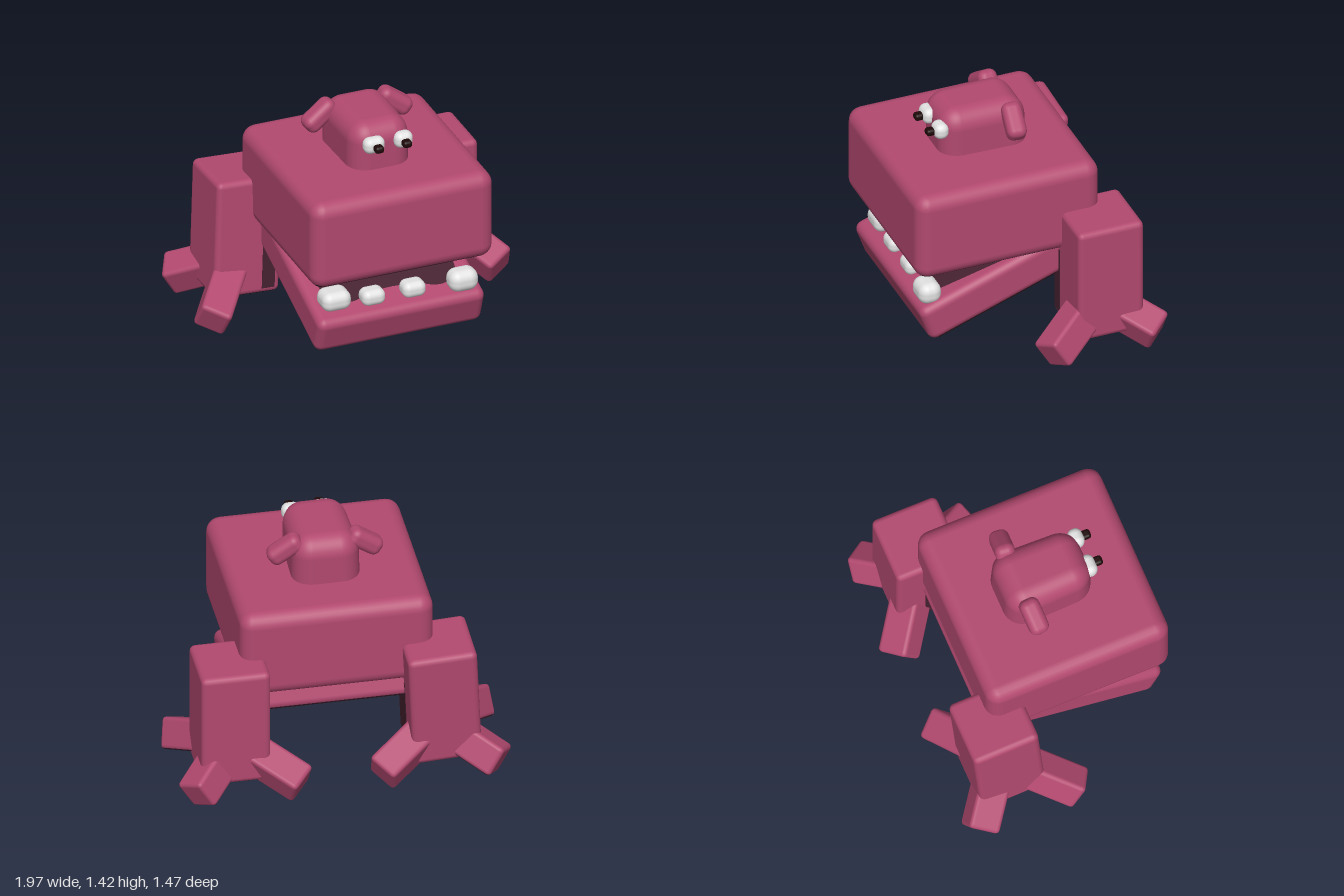
import * as THREE from 'three';
import { RoundedBoxGeometry } from 'three/addons/geometries/RoundedBoxGeometry.js';

function colour(name, hex) {
  const material = new THREE.MeshStandardMaterial({ color: hex });
  material.name = name;
  return material;
}
const skin = colour('berry skin', 0xb2496f);
const maroon = colour('deep maroon', 0x45212f);
const black = colour('brown black', 0x1e0908);
const white = colour('tooth white', 0xe2e2e2);

// Rounded block: size [w, h, d], centre [x, y, z]
function block(name, material, size, position, radius, segments = 3) {
  const mesh = new THREE.Mesh(new RoundedBoxGeometry(...size, segments, radius), material);
  mesh.name = name;
  mesh.position.set(...position);
  return mesh;
}

// Materials for a skin block whose underside has another colour
const withBelly = (belly) => [skin, skin, skin, belly, skin, skin];

// Thin painted plate
function plate(name, material, size, position) {
  const mesh = new THREE.Mesh(new THREE.BoxGeometry(...size), material);
  mesh.name = name;
  mesh.position.set(...position);
  return mesh;
}

// Toe reaching down and outward from the leg, ending at (x, z) and rolled on its axis
function toe(centre, [x, z], side) {
  const tilt = 0.39, length = 0.44;
  const yaw = Math.atan2(x - centre[0], z - centre[2]);
  const dir = new THREE.Vector3(
    Math.sin(yaw) * Math.cos(tilt), -Math.sin(tilt), Math.cos(yaw) * Math.cos(tilt));
  const mesh = block('toe', withBelly(maroon), [0.19, 0.19, length], [x, 0.122, z], 0.025, 2);
  mesh.position.addScaledVector(dir, -length / 2);
  mesh.rotation.set(tilt, yaw, side * 0.42, 'YXZ');
  return mesh;
}

function leg(name, side, centre, lean, toeTips) {
  const group = new THREE.Group();
  group.name = name;
  const post = block('legPost', withBelly(black), [0.41, 0.74, 0.41], centre, 0.035, 2);
  post.rotation.set(lean[0], 0, lean[1]);
  // Dark skin where the leg faces the belly
  post.add(
    plate('innerShade', maroon, [0.006, 0.43, 0.2], [-side * 0.205, -0.12, 0.07]),
    plate('frontShade', maroon, [0.08, 0.43, 0.006], [-side * 0.13, -0.12, 0.205]));
  group.add(post, ...toeTips.map((tip) => toe(centre, tip, side)));
  return group;
}

export function createModel() {
  const model = new THREE.Group();
  model.name = 'blockCreature';

  // Jaws
  model.add(block('upperJaw', withBelly(maroon), [1.145, 0.56, 1.15], [0.013, 0.875, 0.163], 0.085));
  const lowerJaw = block('lowerJaw', withBelly(maroon), [1.05, 0.24, 1.12], [0.015, 0.435, 0.145], 0.05);
  lowerJaw.rotation.x = 0.345;
  model.add(lowerJaw);

  // Dark mouth floor with a wavy front edge, widening towards the throat
  const floor = new THREE.Shape();
  floor.moveTo(-0.47, 0.45);
  floor.lineTo(-0.47, 0.1);
  floor.lineTo(-0.41, -0.37);
  floor.quadraticCurveTo(-0.3, -0.46, -0.2, -0.4);
  floor.quadraticCurveTo(0, -0.34, 0.2, -0.4);
  floor.quadraticCurveTo(0.3, -0.46, 0.41, -0.37);
  floor.lineTo(0.47, 0.1);
  floor.lineTo(0.47, 0.45);
  const mouthFloor = new THREE.Mesh(new THREE.ShapeGeometry(floor), maroon);
  mouthFloor.name = 'mouthFloor';
  mouthFloor.rotation.x = -Math.PI / 2;
  mouthFloor.position.y = 0.123;
  lowerJaw.add(mouthFloor, plate('jawBelly', black, [0.95, 0.006, 0.93], [0.02, -0.12, 0.045]));

  // Teeth: x, y, z, width, height, depth
  const teeth = [
    [-0.365, 0.445, 0.57, 0.18, 0.12, 0.16], [-0.135, 0.425, 0.59, 0.145, 0.1, 0.12],
    [0.12, 0.425, 0.59, 0.145, 0.1, 0.12], [0.42, 0.435, 0.62, 0.18, 0.135, 0.14],
  ];
  for (const [x, y, z, w, h, d] of teeth) {
    model.add(block('tooth', white, [w, h, d], [x, y, z], h * 0.43, 4));
  }

  // Head, slightly narrower towards the top, the front and the upper back
  const head = block('head', skin, [0.405, 0.44, 0.545], [0.013, 1.215, 0.148], 0.12, 5);
  const p = head.geometry.attributes.position;
  for (let i = 0; i < p.count; i++) {
    const up = Math.max(0, p.getY(i)) / 0.22, forward = Math.max(0, p.getZ(i)) / 0.27;
    p.setX(i, p.getX(i) * (1 - 0.04 * up - 0.08 * forward));
    if (p.getZ(i) < 0) p.setZ(i, p.getZ(i) * (1 - 0.08 * up));
  }
  model.add(head);

  for (const side of [-1, 1]) {
    // Drooping ears
    const ear = block('ear', skin, [0.225, 0.115, 0.12],
      [0.013 + side * 0.235, 1.345, 0.005], 0.045, 3);
    ear.rotation.set(0, -side * 0.1, -side * 0.62);
    model.add(ear);

    // Bulging eyes with protruding pupils
    const x = side < 0 ? -0.053 : 0.131;
    model.add(
      block('eye', white, [side < 0 ? 0.13 : 0.115, 0.1, 0.09], [x, 1.32, 0.42], 0.042, 4),
      block('pupil', black, [0.056, 0.044, 0.058], [side < 0 ? -0.046 : 0.13, 1.32, 0.481], 0.018, 3));
  }

  // Two rear legs with three splayed toes each
  model.add(leg('leftLeg', 1, [0.647, 0.497, -0.365], [0, 0], [
    [0.907, 0.035], [0.9, -0.64], [0.27, -0.64],
  ]));
  model.add(leg('rightLeg', -1, [-0.588, 0.503, -0.38], [-0.045, -0.05], [
    [-0.9, 0.015], [-0.905, -0.625], [-0.2, -0.62],
  ]));

  return model;
}
